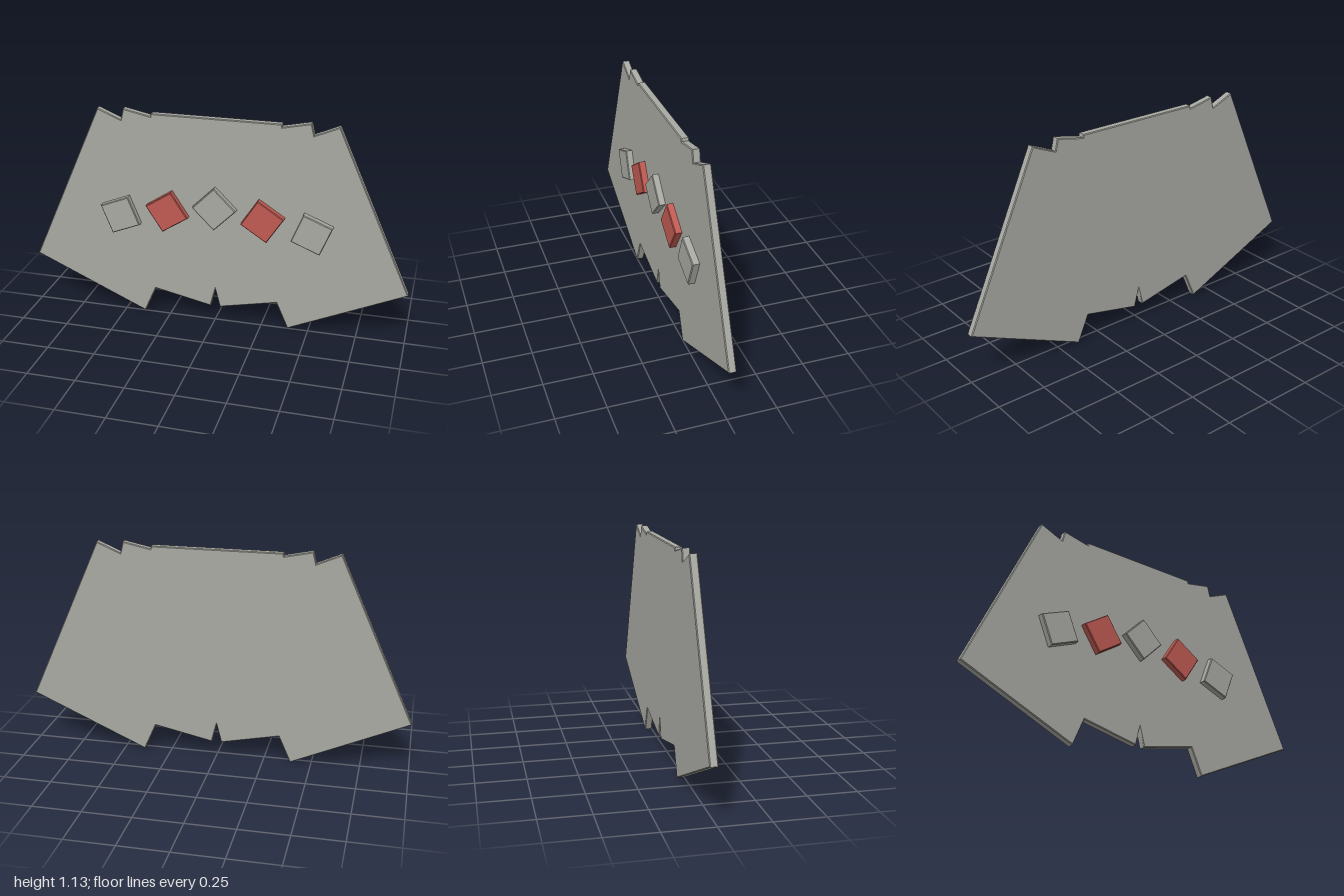
import * as THREE from 'three';

const BEVEL = 0.004;

// Extrudes an outline between two depths with a fine chamfer inside its bounds
function slab(points, zBack, zFront) {
  const geometry = new THREE.ExtrudeGeometry(new THREE.Shape(points), {
    depth: zFront - zBack - 2 * BEVEL,
    bevelEnabled: true,
    bevelSize: BEVEL,
    bevelThickness: BEVEL,
    bevelOffset: -BEVEL,
    bevelSegments: 1,
  });
  geometry.translate(0, 0, zBack + BEVEL);
  return geometry;
}

export function createModel() {
  const grey = new THREE.MeshStandardMaterial({ name: 'warm grey', color: 0xa9a9a3 });
  const red = new THREE.MeshStandardMaterial({ name: 'muted red', color: 0xc05a52 });
  const model = new THREE.Group();
  model.name = 'notchedPanel';

  // Panel outline: left half from the bottom notch up to the top edge, then mirrored
  const half = [
    [0.025, 0.08], [0.33, 0.145], [0.392, 0.002], [1, 0.275], [0.615, 1.13],
    [0.492, 1.077], [0.478, 1.137], [0.335, 1.107], [0.332, 1.122],
  ];
  const outline = [[0, 0.187], ...half, ...half.map(([x, y]) => [-x, y]).reverse()]
    .map(([x, y]) => new THREE.Vector2(x, y));
  const panel = new THREE.Mesh(slab(outline, -0.037, 0.002), grey);
  panel.name = 'panel';
  model.add(panel);

  // Raised square tiles fanned along an arc on the front
  const h = 0.081;
  const square = [[-h, -h], [h, -h], [h, h], [-h, h]].map(([x, y]) => new THREE.Vector2(x, y));
  const tileGeometry = slab(square, -0.002, 0.037);
  function addTile(name, x, y, degrees, material) {
    const tile = new THREE.Mesh(tileGeometry, material);
    tile.name = name;
    tile.position.set(x, y, 0);
    tile.rotation.z = THREE.MathUtils.degToRad(degrees);
    model.add(tile);
  }
  addTile('centreTile', 0, 0.651, 45, grey);
  for (const [side, label] of [[1, 'left'], [-1, 'right']]) {
    addTile(label + 'InnerTile', side * 0.251, 0.61, side * -33, red);
    addTile(label + 'OuterTile', side * 0.504, 0.567, side * -22, grey);
  }
  return model;
}
